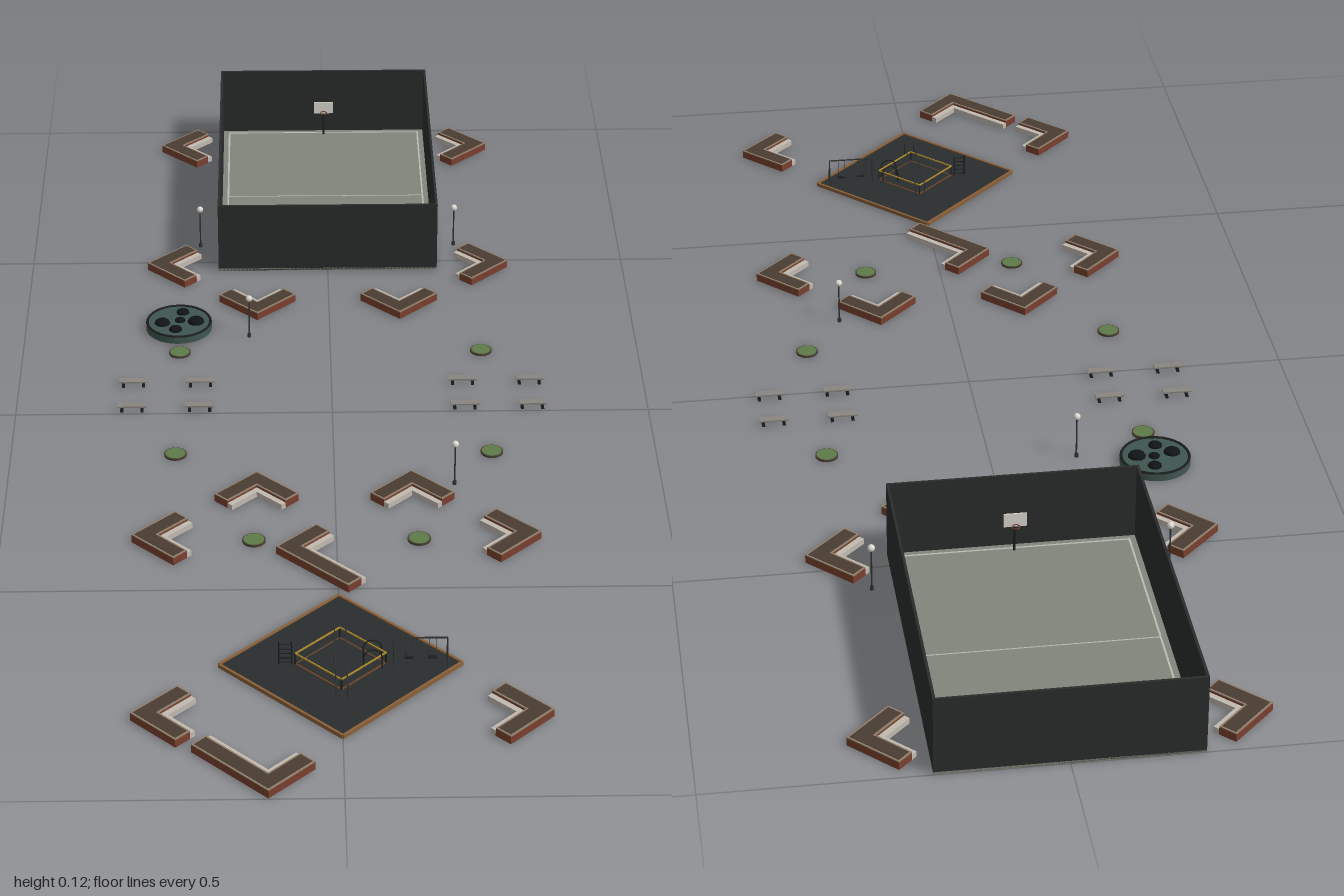
import * as THREE from 'three';

const mat = (color, flatShading = false) => {
  const m = new THREE.MeshStandardMaterial({ flatShading });
  m.color.set(color);
  return m;
};
const M = {
  brick: mat(0x7a3f2e), rim: mat(0x8f7d69), soil: mat(0x4a3c31), seat: mat(0xc2bab0),
  wall: mat(0x2a2d2c), frame: mat(0x1f2221), court: mat(0x82857a), line: mat(0xb9bcb2),
  dark: mat(0x1c1f1f), pole: mat(0x303333), lamp: mat(0xdddad2), grass: mat(0x5d7c48),
  teal: mat(0x405650), rock: mat(0x111414, true), wood: mat(0x8a8580),
  rubber: mat(0x2a2d2e), border: mat(0x8a6038), sand: mat(0x6b4128), yellow: mat(0xb08a28),
};

function add(parent, name, geo, material, x = 0, y = 0, z = 0) {
  const m = new THREE.Mesh(geo, material);
  m.name = name;
  m.position.set(x, y, z);
  parent.add(m);
  return m;
}
const box = (p, name, m, w, h, d, x, y, z) => add(p, name, new THREE.BoxGeometry(w, h, d), m, x, y, z);
const disc = (p, name, m, r, h, x, y, z, n = 24) => add(p, name, new THREE.CylinderGeometry(r, r, h, n), m, x, y, z);

function group(parent, name, x = 0, y = 0, z = 0, turn = 0) {
  const g = new THREE.Group();
  g.name = name;
  g.position.set(x, y, z);
  g.rotation.y = turn;
  parent.add(g);
  return g;
}

// Round bar between two points
function bar(p, name, m, a, b, r = 0.0012) {
  const A = new THREE.Vector3(...a), B = new THREE.Vector3(...b);
  const mesh = add(p, name, new THREE.CylinderGeometry(r, r, A.distanceTo(B), 6), m);
  mesh.position.copy(A).add(B).multiplyScalar(0.5);
  mesh.quaternion.setFromUnitVectors(new THREE.Vector3(0, 1, 0), B.sub(A).normalize());
  return mesh;
}

// L-shaped slab with its arms along +x and +z, inset by o from the corner
function ell(a, b, o, w, bottom, top) {
  const pts = [[o, o], [a, o], [a, o + w], [o + w, o + w], [o + w, b], [o, b]];
  const g = new THREE.ExtrudeGeometry(new THREE.Shape(pts.map(p => new THREE.Vector2(...p))),
    { depth: top - bottom, bevelEnabled: false });
  return g.rotateX(Math.PI / 2).translate(0, top, 0);
}

// Corner planter of brick with a seat along the inside
function planter(root, x, z, turn, a = 0.09, b = 0.09) {
  const g = group(root, 'planter', x, 0, z, turn);
  add(g, 'brickBase', ell(a, b, 0, 0.028, 0, 0.012), M.brick);
  add(g, 'rim', ell(a, b, 0, 0.028, 0.012, 0.0135), M.rim);
  add(g, 'soil', ell(a - 0.003, b - 0.003, 0.003, 0.022, 0.0135, 0.014), M.soil);
  add(g, 'innerSeat', ell(a, b, 0.028, 0.009, 0, 0.009), M.seat);
}

// Walled ball court
function ballCourt(root) {
  const g = group(root, 'ballCourt', 0, 0, -0.735);
  const W = 0.37, D = 0.53, H = 0.123, t = 0.004;
  box(g, 'courtFloor', M.court, W, 0.004, D, 0, 0.002, 0);
  for (const s of [-1, 1]) {
    box(g, 'sideWall', M.wall, t, H, D, s * (W - t) / 2, H / 2, 0);
    box(g, 'endWall', M.wall, W, H, t, 0, H / 2, s * (D - t) / 2);
    box(g, 'sideLine', M.line, 0.003, 0.0006, 0.505, s * 0.171, 0.0043, 0);
    box(g, 'endLine', M.line, 0.342, 0.0006, 0.003, 0, 0.0043, s * 0.251);
    for (let i = 0; i <= 8; i++)
      box(g, 'wallPost', M.frame, 0.003, H, 0.003, s * (W / 2 - 0.0018), H / 2, -D / 2 + 0.002 + i * (D - 0.004) / 8);
    for (let i = 1; i < 6; i++)
      box(g, 'wallPost', M.frame, 0.003, H, 0.003, -W / 2 + i * W / 6, H / 2, s * (D / 2 - 0.0018));
    // Hoop at each end
    const h = group(g, 'hoop', 0, 0, s * 0.24, s > 0 ? Math.PI : 0);
    bar(h, 'hoopPost', M.dark, [0, 0, -0.006], [0, 0.058, -0.006], 0.002);
    box(h, 'backboard', M.lamp, 0.034, 0.022, 0.002, 0, 0.06, 0);
    const ring = add(h, 'ring', new THREE.TorusGeometry(0.006, 0.0008, 6, 16), M.brick, 0, 0.053, 0.008);
    ring.rotation.x = Math.PI / 2;
  }
  box(g, 'middleLine', M.line, 0.342, 0.0005, 0.002, 0, 0.0042, 0);
}

// Bench on two leg frames
function bench(root, x, z) {
  const g = group(root, 'bench', x, 0, z);
  box(g, 'benchSeat', M.wood, 0.045, 0.0025, 0.013, 0, 0.0098, 0);
  for (const s of [-1, 1]) {
    box(g, 'benchLeg', M.dark, 0.003, 0.0086, 0.009, s * 0.016, 0.0043, 0);
    box(g, 'benchFoot', M.dark, 0.005, 0.001, 0.012, s * 0.016, 0.0005, 0);
  }
}

function lamp(root, x, z) {
  const g = group(root, 'streetLamp', x, 0, z);
  disc(g, 'lampFoot', M.pole, 0.003, 0.006, 0, 0.003, 0, 10);
  bar(g, 'lampPole', M.pole, [0, 0, 0], [0, 0.068, 0], 0.0013);
  add(g, 'lampGlobe', new THREE.SphereGeometry(0.0055, 16, 10), M.lamp, 0, 0.0715, 0);
}

// Round bed with boulders
function rockBed(root) {
  const g = group(root, 'rockBed', -0.248, 0, -0.275);
  disc(g, 'bed', M.teal, 0.054, 0.012, 0, 0.006, 0, 32);
  const ring = add(g, 'bedEdge', new THREE.TorusGeometry(0.052, 0.0022, 6, 32), M.dark, 0, 0.012, 0);
  ring.rotation.x = Math.PI / 2;
  [[-0.027, 0.006, 0.013], [0.006, -0.029, 0.011], [0.028, 0.002, 0.014], [-0.005, 0.028, 0.011], [0.002, -0.002, 0.009]]
    .forEach(([x, z, r], i) => {
      const rock = add(g, 'boulder', new THREE.IcosahedronGeometry(r, 1), M.rock, x, 0.0125, z);
      rock.scale.y = 0.58;
      rock.rotation.y = i * 1.3;
    });
}

// Playground on a square mat standing on its corner
function playground(root) {
  const g = group(root, 'playground', 0, 0, 0.695);
  const pad = group(g, 'playMat', 0, 0, 0, Math.PI / 4);
  const S = 0.242;
  box(pad, 'rubberMat', M.rubber, S, 0.004, S, 0, 0.002, 0);
  box(pad, 'sandPit', M.sand, 0.092, 0.005, 0.092, 0, 0.0025, 0);
  box(pad, 'pitCover', M.rubber, 0.086, 0.0004, 0.086, 0, 0.0052, 0);
  for (const s of [-1, 1]) {
    box(pad, 'matEdge', M.border, S, 0.006, 0.004, 0, 0.003, s * S / 2);
    box(pad, 'matEdge', M.border, 0.004, 0.006, S, s * S / 2, 0.003, 0);
    // Square climbing frame
    box(pad, 'climbingRail', M.yellow, 0.092, 0.002, 0.002, 0, 0.022, s * 0.045);
    box(pad, 'climbingRail', M.yellow, 0.002, 0.002, 0.092, s * 0.045, 0.022, 0);
    for (const q of [-1, 1]) bar(pad, 'climbingPost', M.dark, [s * 0.045, 0, q * 0.045], [s * 0.045, 0.023, q * 0.045]);
  }
  // Ladder
  for (const s of [-1, 1]) bar(g, 'ladderSide', M.dark, [-0.078 + s * 0.009, 0, 0], [-0.078 + s * 0.009, 0.042, 0]);
  for (let i = 1; i < 6; i++) bar(g, 'ladderRung', M.dark, [-0.087, i * 0.0075, 0], [-0.069, i * 0.0075, 0], 0.0008);
  // Climbing arch
  for (const z of [-0.012, 0.012])
    add(g, 'climbingArch', new THREE.TorusGeometry(0.013, 0.001, 6, 16, Math.PI), M.dark, 0.045, 0.022, z);
  for (const s of [-1, 1]) for (const z of [-0.012, 0.012])
    bar(g, 'archLeg', M.dark, [0.045 + s * 0.013, 0, z], [0.045 + s * 0.013, 0.022, z]);
  // Swing frame
  bar(g, 'swingBeam', M.pole, [0.075, 0.047, 0], [0.15, 0.047, 0]);
  for (const x of [0.075, 0.15]) for (const z of [-0.014, 0.014])
    bar(g, 'swingLeg', M.pole, [x, 0, z], [x, 0.047, 0], 0.001);
  for (const x of [0.096, 0.129]) {
    for (const s of [-1, 1]) bar(g, 'swingChain', M.pole, [x + s * 0.005, 0.047, 0], [x + s * 0.005, 0.014, 0], 0.0004);
    box(g, 'swingSeat', M.dark, 0.012, 0.0015, 0.006, x, 0.014, 0);
  }
  // Parallel bars
  for (const x of [-0.008, 0.008]) {
    bar(g, 'parallelBar', M.pole, [x, 0.027, -0.07], [x, 0.027, 0.085], 0.001);
    for (const z of [-0.07, 0.085]) bar(g, 'parallelPost', M.pole, [x, 0, z], [x, 0.027, z], 0.001);
  }
}

export function createModel() {
  const root = new THREE.Group();
  root.name = 'park';
  const q = Math.PI / 4;

  ballCourt(root);
  rockBed(root);
  playground(root);

  // Planters in mirrored pairs: side corners, then the rows facing the middle
  for (const [x, z] of [[0.292, -0.92], [0.305, -0.475], [0.305, 0.371], [0.292, 0.82]]) {
    planter(root, -x, z, q);
    planter(root, x, z, 5 * q);
  }
  for (const x of [-0.119, 0.117]) {
    planter(root, x, -0.298, 3 * q);
    planter(root, x, 0.196, -q);
  }
  // Long planters beside the playground
  planter(root, -0.09, 0.406, q, 0.085, 0.148);
  planter(root, -0.102, 0.999, 3 * q, 0.148, 0.09);

  // Round lawns
  for (const [x, z] of [[0.245, -0.19], [0.245, 0.125], [0.123, 0.371]])
    for (const s of [-1, 1]) {
      disc(root, 'lawnEdge', M.soil, 0.0175, 0.003, s * x, 0.0015, z);
      disc(root, 'lawn', M.grass, 0.0155, 0.0036, s * x, 0.0019, z);
    }

  for (const x of [-0.317, -0.21, 0.21, 0.317]) for (const z of [-0.087, -0.01]) bench(root, x, z);

  for (const [x, z] of [[-0.217, -0.557], [0.217, -0.557], [-0.132, -0.243], [0.183, 0.217]]) lamp(root, x, z);

  return root;
}
